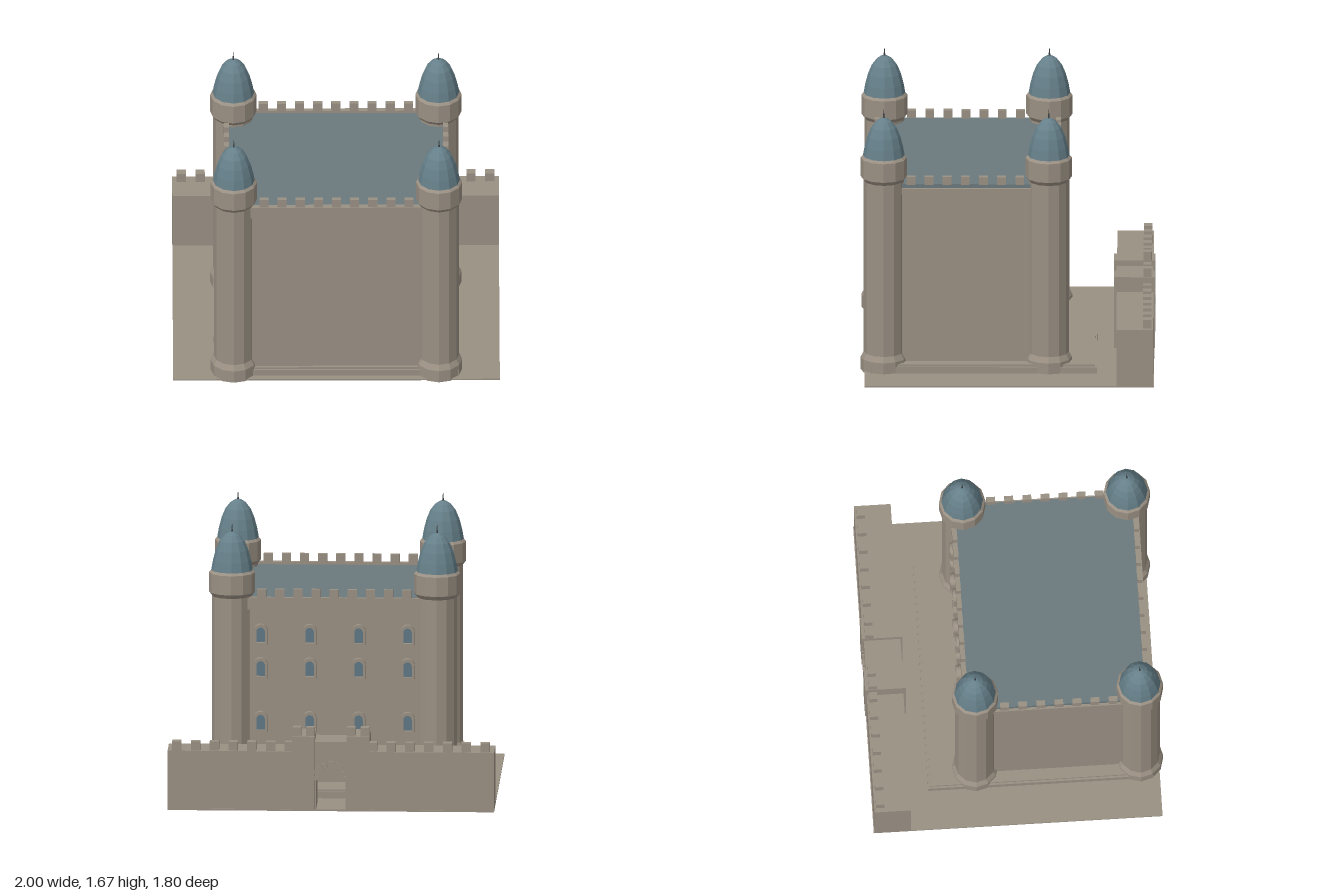
import * as THREE from 'three';

export function createModel() {
  const model = new THREE.Group();
  model.name = 'castle';
  const mat = (name, color, opts = {}) => {
    const m = new THREE.MeshStandardMaterial({ color, flatShading: true, ...opts });
    m.name = name;
    return m;
  };
  const stone = mat('stone', 0x9a9083);
  const roofBlue = mat('roof slate', 0x6b7a7d);
  const domeBlue = mat('dome slate', 0x66808a);
  const glass = mat('window glass', 0x5f7884);
  const iron = mat('iron', 0x3c4144);

  const add = (name, geo, material, parent = model) => {
    const m = new THREE.Mesh(geo, material);
    m.name = name;
    parent.add(m);
    return m;
  };
  // box given by its minimum and maximum on each axis
  const box = (name, x0, x1, y0, y1, z0, z1, material = stone, parent = model) => {
    const m = add(name, new THREE.BoxGeometry(x1 - x0, y1 - y0, z1 - z0), material, parent);
    m.position.set((x0 + x1) / 2, (y0 + y1) / 2, (z0 + z1) / 2);
    return m;
  };
  const merlon = (x, y, z, w, h, d) =>
    box('merlon', x - w / 2, x + w / 2, y, y + h, z - d / 2, z + d / 2);
  const lathe = (pts) => new THREE.LatheGeometry(pts.map(p => new THREE.Vector2(...p)), 12);

  // ground slab and stepped plinth
  box('groundSlab', -1, 1, 0, 0.01, -0.9, 0.872);
  box('plinth', -0.75, 0.75, 0.01, 0.05, -0.55, 0.832);
  box('plinthTop', -0.738, 0.738, 0.05, 0.063, -0.538, 0.82);

  // keep, cornice and flat roof
  box('keepWalls', -0.667, 0.667, 0.06, 1.15, -0.305, 0.803);
  box('sideCornice', -0.685, 0.685, 1.14, 1.175, -0.3, 0.8);
  box('roof', -0.668, 0.668, 1.175, 1.2, -0.3, 0.79, roofBlue);
  box('frontParapet', -0.63, 0.63, 1.14, 1.215, 0.786, 0.822);
  box('backParapet', -0.63, 0.63, 1.14, 1.215, -0.327, -0.297);

  // keep battlements
  for (let i = -4; i <= 4; i++) {
    merlon(i * 0.111, 1.215, 0.801, 0.056, 0.052, 0.03);
    merlon(i * 0.111, 1.215, -0.312, 0.056, 0.052, 0.03);
  }
  for (let i = -3; i <= 3; i++) {
    for (const s of [-1, 1]) merlon(s * 0.671, 1.2, 0.256 + i * 0.111, 0.032, 0.051, 0.054);
  }

  // four round towers with domes
  const shaft = lathe([[0, 0], [0.142, 0], [0.142, 0.08], [0.123, 0.115], [0.123, 1.215],
    [0.142, 1.24], [0.142, 1.36], [0.128, 1.375], [0, 1.375]]);
  const dome = lathe([[0.128, 1.373], [0.117, 1.435], [0.1, 1.5], [0.077, 1.555],
    [0.048, 1.592], [0.02, 1.61], [0, 1.615]]);
  for (const x of [-0.628, 0.628]) {
    for (const z of [-0.255, 0.755]) {
      const tower = new THREE.Group();
      tower.name = 'tower';
      tower.position.set(x, 0, z);
      add('towerShaft', shaft, stone, tower);
      add('towerDome', dome, domeBlue, tower);
      const spike = add('towerSpike', new THREE.ConeGeometry(0.007, 0.065, 6), iron, tower);
      spike.position.y = 1.638;
      model.add(tower);
    }
  }

  // round-headed outline, base at y = 0
  const archPath = (path, hw, spring, y0 = 0) => {
    path.moveTo(-hw, y0);
    path.lineTo(hw, y0);
    path.lineTo(hw, spring);
    path.absarc(0, spring, hw, 0, Math.PI, false);
    path.lineTo(-hw, y0);
    return path;
  };

  // arched windows on the back wall
  const frameShape = archPath(new THREE.Shape(), 0.043, 0.087);
  frameShape.holes.push(archPath(new THREE.Path(), 0.026, 0.085, 0.015));
  const frameGeo = new THREE.ExtrudeGeometry(frameShape,
    { depth: 0.037, bevelEnabled: false, curveSegments: 6 });
  const paneGeo = new THREE.ShapeGeometry(archPath(new THREE.Shape(), 0.028, 0.085, 0.012), 6);
  for (const x of [-0.45, -0.15, 0.15, 0.45]) {
    for (const y of [0.985, 0.775, 0.44]) {
      const win = new THREE.Group();
      win.name = 'window';
      win.position.set(x, y - 0.065, -0.304);
      win.rotation.y = Math.PI;
      add('windowFrame', frameGeo, stone, win);
      add('windowPane', paneGeo, glass, win).position.z = 0.012;
      model.add(win);
    }
  }

  // curtain wall with battlements, both sides of the gate
  for (const s of [-1, 1]) {
    const [a, b] = s < 0 ? [-1, -0.2] : [0.2, 1];
    box('curtainWall', a, b, 0.01, 0.37, -0.895, -0.67);
    for (let i = 0; i < 7; i++) merlon(s * (0.944 - i * 0.115), 0.37, -0.858, 0.057, 0.056, 0.052);
    // gate pier
    const [c, d] = s < 0 ? [-0.237, -0.098] : [0.098, 0.237];
    box('gatePier', c, d, 0.01, 0.465, -0.905, -0.653);
    for (const x of [0.125, 0.208]) merlon(s * x, 0.465, -0.858, 0.052, 0.054, 0.05);
  }

  // arched gateway between the piers
  const gate = new THREE.Shape();
  gate.moveTo(-0.1, 0.01);
  gate.lineTo(-0.09, 0.01);
  gate.lineTo(-0.09, 0.19);
  gate.absarc(0, 0.19, 0.09, Math.PI, 0, true);
  gate.lineTo(0.09, 0.01);
  gate.lineTo(0.1, 0.01);
  gate.lineTo(0.1, 0.43);
  gate.lineTo(-0.1, 0.43);
  const gateMesh = add('gateArch', new THREE.ExtrudeGeometry(gate,
    { depth: 0.225, bevelEnabled: false, curveSegments: 12 }), stone);
  gateMesh.position.z = -0.892;

  // wedge stones around the arch
  for (let i = 0; i < 9; i++) {
    const t = (i + 0.5) * Math.PI / 9;
    const r = 0.1;
    const v = add('archStone', new THREE.BoxGeometry(0.035, 0.026, 0.02), stone);
    v.position.set(r * Math.cos(t), 0.19 + r * Math.sin(t), -0.895);
    v.rotation.z = t;
  }
  return model;
}
